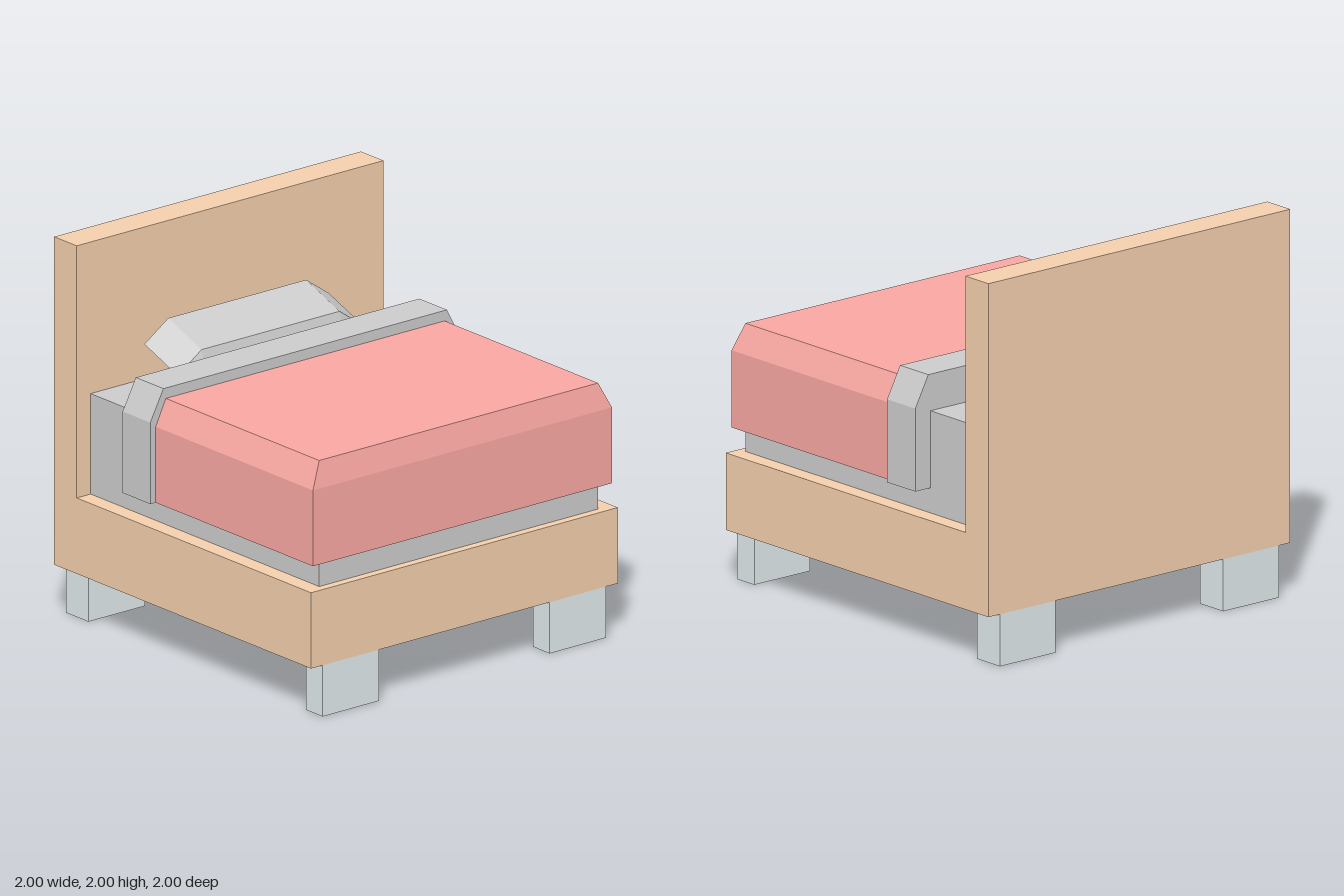
import * as THREE from 'three';
import { ConvexGeometry } from 'three/addons/geometries/ConvexGeometry.js';

const material = (color) => new THREE.MeshStandardMaterial({ color, flatShading: true });

export function createModel() {
  const bed = new THREE.Group();
  bed.name = 'bed';
  const wood = material(0xf3ceac);
  const red = material(0xf9a7a2);
  const grey = material(0xcccccc);
  const pale = material(0xe0e9ea);

  const add = (name, geometry, mat) => {
    const mesh = new THREE.Mesh(geometry, mat);
    mesh.name = name;
    bed.add(mesh);
    return mesh;
  };

  // box given by its limits on each axis
  const box = (name, [x0, x1], [y0, y1], [z0, z1], mat) =>
    add(name, new THREE.BoxGeometry(x1 - x0, y1 - y0, z1 - z0), mat)
      .position.set((x0 + x1) / 2, (y0 + y1) / 2, (z0 + z1) / 2);

  const extrude = (points, depth) => new THREE.ExtrudeGeometry(
    new THREE.Shape(points.map(([x, y]) => new THREE.Vector2(x, y))),
    { depth, bevelEnabled: false });

  // convex solid mirrored left to right from points with x > 0
  const mirroredHull = (points) => new ConvexGeometry(points.flatMap(([x, y, z]) =>
    [new THREE.Vector3(x, y, z), new THREE.Vector3(-x, y, z)]));

  // frame and headboard: one L-shaped side profile (z, y) swept across the width
  const frame = extrude(
    [[-1, 0.27], [1, 0.27], [1, 0.67], [-0.825, 0.67], [-0.825, 2], [-1, 2]], 1.98);
  frame.rotateY(-Math.PI / 2).translate(0.99, 0, 0);
  add('frameAndHeadboard', frame, wood);

  // legs
  for (const [side, x] of [['Right', [-0.915, -0.55]], ['Left', [0.55, 0.915]]]) {
    box('front' + side + 'Leg', x, [0, 0.27], [0.87, 1], pale);
    box('back' + side + 'Leg', x, [0, 0.27], [-1, -0.825], pale);
  }

  box('mattress', [-0.9, 0.9], [0.67, 1.2], [-0.825, 0.955], grey);

  // blanket with bevelled sides and foot end
  add('blanket', mirroredHull([
    [0.965, 0.8, -0.24], [0.965, 0.8, 0.985],
    [0.965, 1.2, -0.24], [0.965, 1.2, 0.985],
    [0.9, 1.335, -0.24], [0.9, 1.335, 0.955],
  ]), red);

  // folded-back sheet band
  const fold = extrude(
    [[-1, 0.8], [1, 0.8], [1, 1.23], [0.915, 1.39], [-0.915, 1.39], [-1, 1.23]], 0.215);
  fold.translate(0, 0, -0.455);
  add('sheetFold', fold, grey);

  // pillow leaning on the headboard: wide middle outline, smaller top and bottom
  add('pillow', mirroredHull([
    [0.445, 1.415, -0.51], [0.445, 1.51, -0.77],
    [0.445, 1.205, -0.52], [0.445, 1.3, -0.78],
    [0.445, 1.29, -0.47], [0.445, 1.425, -0.82],
    [0.595, 1.31, -0.515], [0.595, 1.405, -0.775],
  ]), grey);

  return bed;
}
